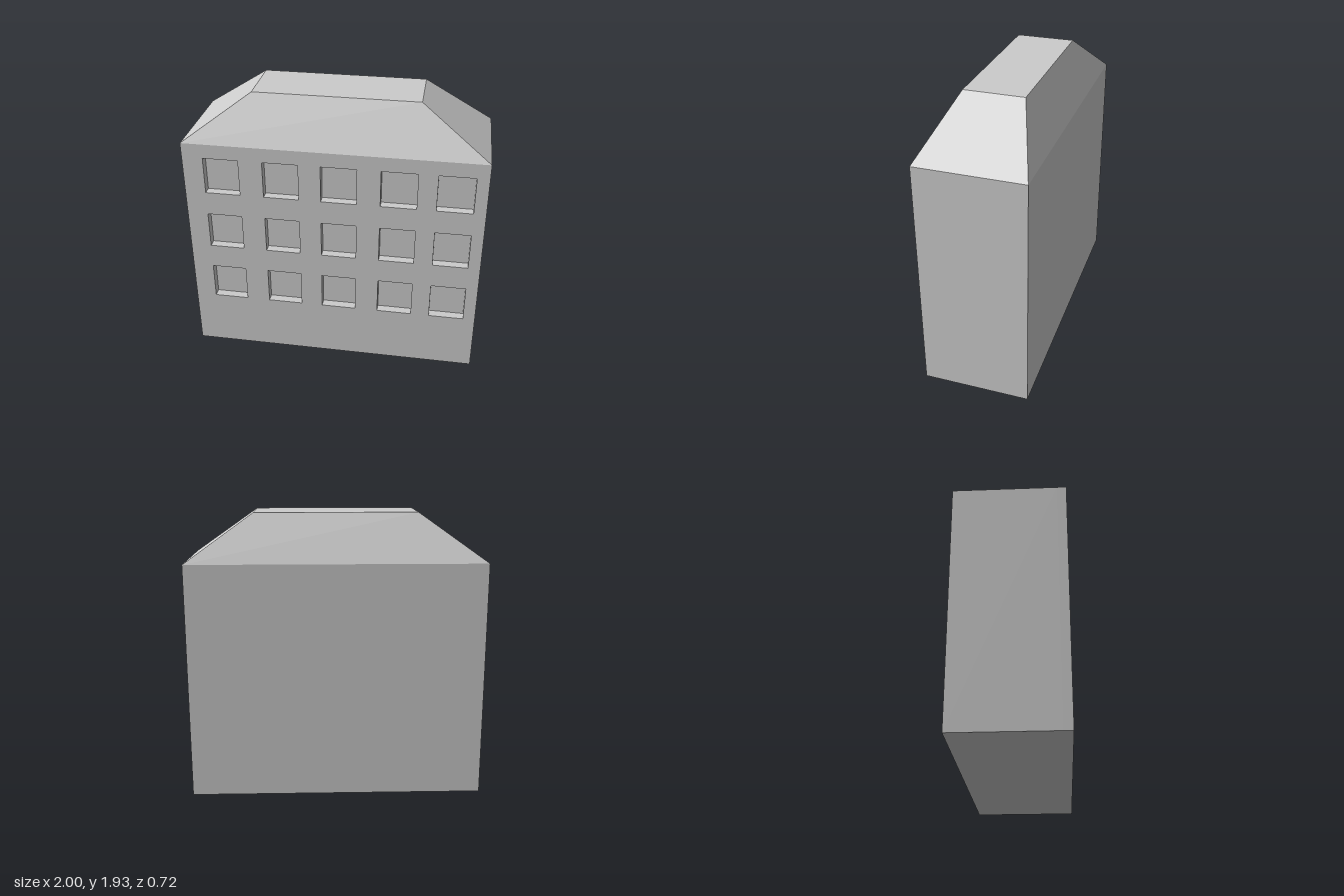
import * as THREE from 'three';

const HALF_W = 1, HALF_D = 0.36, EAVES = 1.61, TOP = 1.93, RECESS = 0.06;
const WINDOW_W = 0.237, WINDOW_H = 0.256;
const WINDOW_X = [-0.74, -0.342, 0.043, 0.436, 0.80];
const WINDOW_Y = [0.532, 0.96, 1.382];

function rectangle(path, x0, y0, x1, y1) {
  path.moveTo(x0, y0);
  path.lineTo(x1, y0);
  path.lineTo(x1, y1);
  path.lineTo(x0, y1);
  path.closePath();
  return path;
}

export function createModel() {
  const group = new THREE.Group();
  group.name = 'building';
  const material = new THREE.MeshStandardMaterial({ color: 0xcccccc, flatShading: true });
  const add = (name, geometry, x, y, z) => {
    const mesh = new THREE.Mesh(geometry, material);
    mesh.name = name;
    mesh.position.set(x, y, z);
    group.add(mesh);
  };

  // Solid body; its front face forms the backs of the window recesses
  const bodyDepth = 2 * HALF_D - RECESS;
  add('body', new THREE.BoxGeometry(2 * HALF_W, EAVES, bodyDepth), 0, EAVES / 2, -RECESS / 2);

  // Front wall pierced by a grid of windows
  const wall = rectangle(new THREE.Shape(), -HALF_W, 0, HALF_W, EAVES);
  for (const y of WINDOW_Y) {
    for (const x of WINDOW_X) {
      wall.holes.push(rectangle(new THREE.Path(),
        x - WINDOW_W / 2, y - WINDOW_H / 2, x + WINDOW_W / 2, y + WINDOW_H / 2));
    }
  }
  add('frontWall', new THREE.ExtrudeGeometry(wall, { depth: RECESS, bevelEnabled: false }),
    0, 0, HALF_D - RECESS);

  // Hipped roof with a flat top: a box whose upper corners are drawn inwards
  const roof = new THREE.BoxGeometry(2 * HALF_W, TOP - EAVES, 2 * HALF_D);
  const p = roof.attributes.position;
  for (let i = 0; i < p.count; i++) {
    if (p.getY(i) > 0) {
      p.setX(i, Math.sign(p.getX(i)) * 0.545);
      p.setZ(i, Math.sign(p.getZ(i)) * 0.2);
    }
  }
  roof.computeVertexNormals();
  add('roof', roof, 0, (EAVES + TOP) / 2, 0);

  return group;
}
